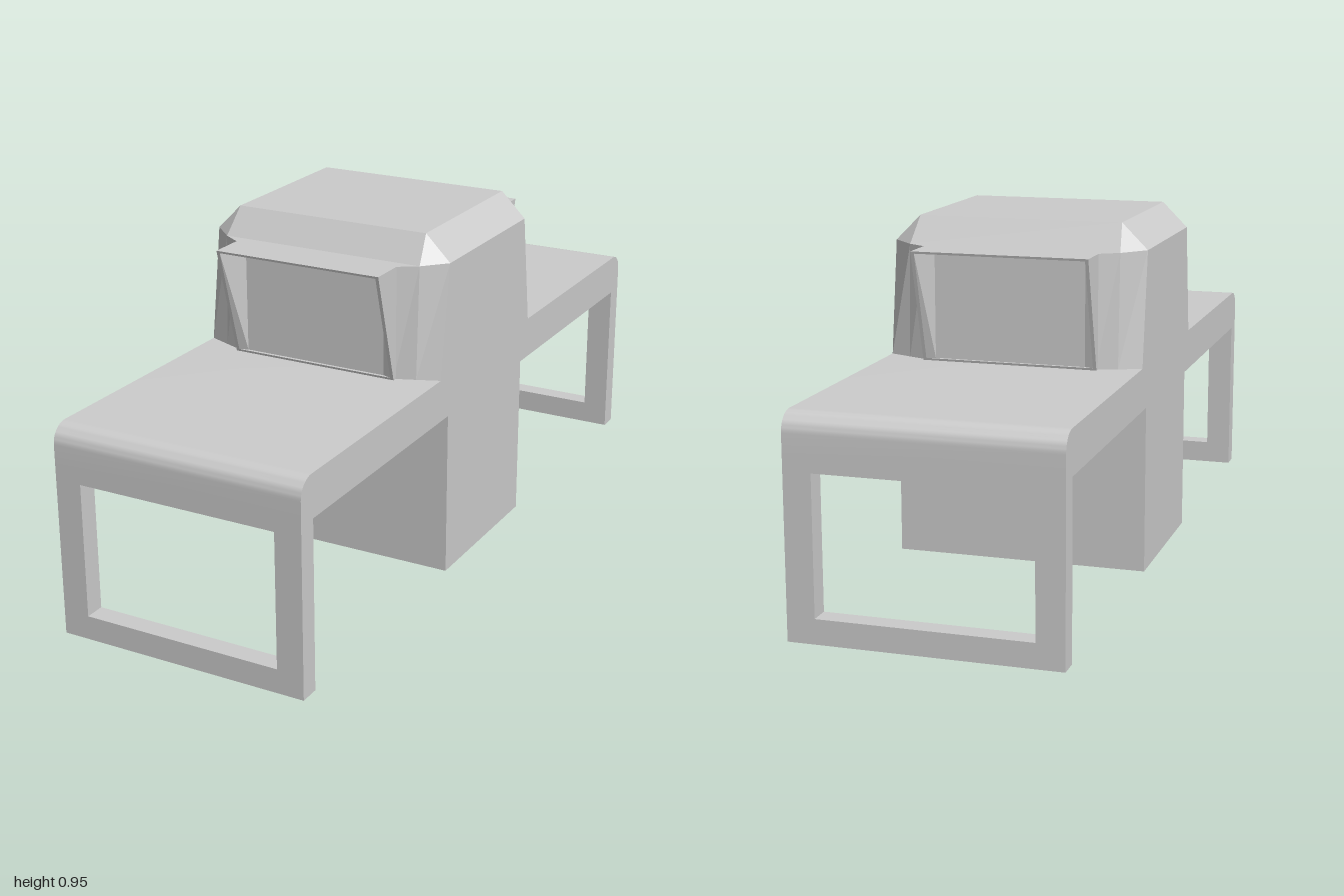
import * as THREE from 'three';
import { toCreasedNormals } from 'three/addons/utils/BufferGeometryUtils.js';

const material = new THREE.MeshStandardMaterial({ color: 0xcccccc });
const flat = new THREE.MeshStandardMaterial({ color: 0xcccccc, flatShading: true });

function addMesh(parent, name, geometry, mat = material) {
  const mesh = new THREE.Mesh(geometry, mat);
  mesh.name = name;
  parent.add(mesh);
  return mesh;
}

// Skins a series of equal-length loops and closes the last one.
function loft(loops) {
  const pos = [];
  const tri = (a, b, c) => pos.push(...a, ...b, ...c);
  const n = loops[0].length;
  for (let k = 0; k + 1 < loops.length; k++) {
    const a = loops[k], b = loops[k + 1];
    for (let i = 0; i < n; i++) {
      const j = (i + 1) % n;
      tri(a[i], a[j], b[j]);
      tri(a[i], b[j], b[i]);
    }
  }
  const cap = loops[loops.length - 1];
  for (let i = 1; i + 1 < n; i++) tri(cap[0], cap[i], cap[i + 1]);
  const g = new THREE.BufferGeometry();
  g.setAttribute('position', new THREE.Float32BufferAttribute(pos, 3));
  g.computeVertexNormals();
  return g;
}

// Pedestal and two counters as one side profile, extruded across the width.
function bodyGeometry() {
  const r = 0.05, top = 0.57, under = 0.455, half = 0.235;
  const s = new THREE.Shape();
  s.moveTo(-half, 0);
  s.lineTo(half, 0);
  s.lineTo(half, under);
  s.lineTo(1, under);
  s.lineTo(1, top - r);
  s.absarc(1 - r, top - r, r, 0, Math.PI / 2);
  s.lineTo(-1 + r, top);
  s.absarc(-1 + r, top - r, r, Math.PI / 2, Math.PI);
  s.lineTo(-1, under);
  s.lineTo(-half, under);
  s.closePath();
  const g = new THREE.ExtrudeGeometry(s, { depth: 0.7, bevelEnabled: false, curveSegments: 6 });
  g.rotateY(-Math.PI / 2).translate(0.35, 0, 0);
  return toCreasedNormals(g, 0.6);
}

// Open rectangular leg frame.
function legGeometry() {
  const s = new THREE.Shape();
  s.moveTo(-0.35, 0).lineTo(0.35, 0).lineTo(0.35, 0.455).lineTo(-0.35, 0.455).closePath();
  const h = new THREE.Path();
  h.moveTo(-0.277, 0.065).lineTo(-0.277, 0.427).lineTo(0.277, 0.427).lineTo(0.277, 0.065).closePath();
  s.holes.push(h);
  return new THREE.ExtrudeGeometry(s, { depth: 0.055, bevelEnabled: false }).translate(0, 0, 0.945);
}

// Mirrors one corner (side to front points) into a full loop at height y.
function headLoop(corner, ys) {
  const q = corner.map(([x, z], i) => [x, ys[i], z]);
  const rev = [...q].reverse();
  return [
    ...rev,
    ...q.map(([x, y, z]) => [x, y, -z]),
    ...rev.map(([x, y, z]) => [-x, y, -z]),
    ...q.map(([x, y, z]) => [-x, y, z]),
  ];
}

function headGeometry() {
  const eave = [0.877, 0.875, 0.875];
  return loft([
    headLoop([[0.35, 0.28], [0.29, 0.304], [0.235, 0.325]], [0.57, 0.57, 0.57]),
    headLoop([[0.35, 0.235], [0.29, 0.29], [0.235, 0.325]], eave),
    headLoop([[0.35, 0.235], [0.29, 0.29], [0.29, 0.29]], eave),
    headLoop([[0.28, 0.235], [0.28, 0.235], [0.28, 0.235]], [0.947, 0.947, 0.947]),
  ]);
}

// Window surround: wedge-shaped hood with a recessed pane.
function hoodGeometry() {
  const rimZ = (y) => 0.335 + (y - 0.57) * 0.28;
  const rect = (x, y0, y1, z) =>
    [[-x, y0], [x, y0], [x, y1], [-x, y1]].map(([px, py]) => [px, py, z ?? rimZ(py)]);
  return loft([
    rect(0.24, 0.57, 0.875, 0.32),
    rect(0.24, 0.57, 0.875),
    rect(0.231, 0.576, 0.869),
    rect(0.207, 0.576, 0.856, 0.328),
  ]);
}

export function createModel() {
  const model = new THREE.Group();
  model.name = 'kiosk';
  addMesh(model, 'pedestalAndCounters', bodyGeometry());
  addMesh(model, 'head', headGeometry(), flat);

  // Legs and window hoods repeat front and back.
  const leg = legGeometry(), hood = hoodGeometry();
  for (const [side, angle] of [['front', 0], ['back', Math.PI]]) {
    addMesh(model, side + 'Leg', leg).rotation.y = angle;
    addMesh(model, side + 'WindowHood', hood, flat).rotation.y = angle;
  }
  return model;
}
